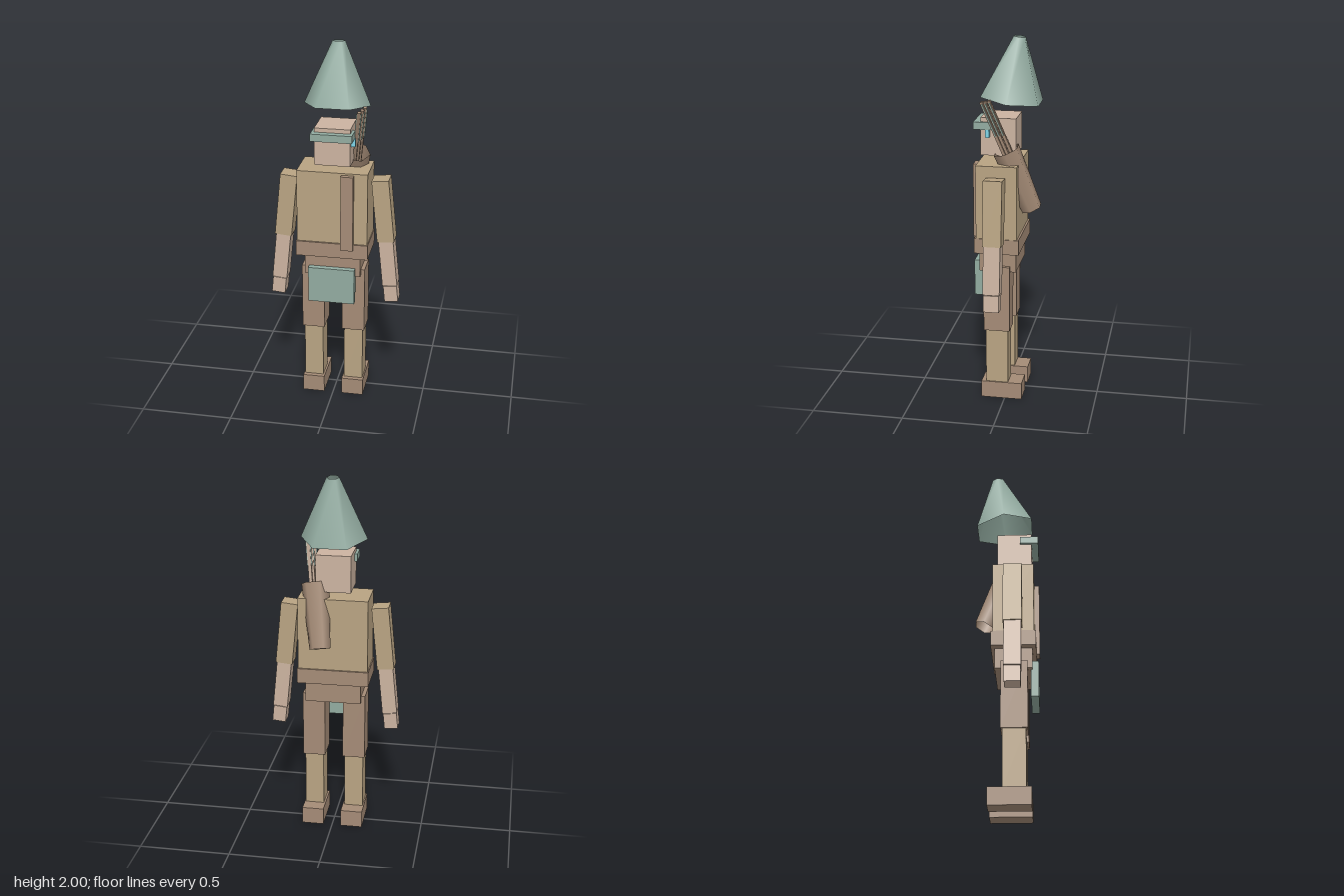
import * as THREE from 'three';

const mat = (color) => new THREE.MeshStandardMaterial({ color, side: THREE.DoubleSide });

export function createModel() {
  const model = new THREE.Group();
  model.name = 'archerFigure';
  const tan = mat(0xb8a382), brown = mat(0xa48b76), skin = mat(0xcbb3a0);
  const teal = mat(0x92aba0), blue = mat(0x7fd4e6);

  // Box given by its extents on each axis
  const box = (name, m, [x0, x1], [y0, y1], [z0, z1], parent = model) => {
    const mesh = new THREE.Mesh(new THREE.BoxGeometry(x1 - x0, y1 - y0, z1 - z0), m);
    mesh.position.set((x0 + x1) / 2, (y0 + y1) / 2, (z0 + z1) / 2);
    mesh.name = name;
    parent.add(mesh);
    return mesh;
  };
  // Open six-sided tapered tube with corners on the x axis
  const hexTube = (name, m, rTop, rBottom, h) => {
    const mesh = new THREE.Mesh(new THREE.CylinderGeometry(rTop, rBottom, h, 6, 1, true, Math.PI / 6), m);
    mesh.name = name;
    return mesh;
  };

  // Trunk
  box('torso', tan, [-0.19, 0.19], [0.93, 1.34], [-0.07, 0.15]);
  box('belt', brown, [-0.196, 0.194], [0.857, 0.94], [-0.08, 0.16]);
  box('pelvis', brown, [-0.152, 0.152], [0.745, 0.86], [-0.06, 0.14]);
  box('chestStrap', brown, [0.05, 0.117], [0.91, 1.33], [0.145, 0.177]);
  box('frontFlap', teal, [-0.127, 0.125], [0.593, 0.793], [0.13, 0.172]);

  // Head with brow band and hanging bead
  box('head', skin, [-0.095, 0.095], [1.375, 1.577], [-0.05, 0.14]);
  box('browBand', teal, [-0.11, 0.11], [1.515, 1.555], [0.075, 0.177]);
  box('bead', blue, [0.092, 0.117], [1.475, 1.516], [0.09, 0.11]);

  // Hat, leaning back
  const hat = hexTube('hat', teal, 0.034, 0.178, 0.332);
  hat.position.set(0, 1.829, -0.032);
  hat.rotation.x = -0.125;
  model.add(hat);

  for (const side of [-1, 1]) {
    const label = side > 0 ? 'left' : 'right';
    const span = (a, b) => (side > 0 ? [a, b] : [-b, -a]);

    // Leg
    box(label + 'Thigh', brown, span(0.05, 0.173), [0.405, 0.777], [-0.028, 0.114]);
    box(label + 'Shin', tan, span(0.06, 0.163), [0.09, 0.41], [-0.018, 0.104]);
    box(label + 'Foot', brown, span(0.05, 0.17), [0, 0.095], [-0.095, 0.13]);

    // Arm, hung from the shoulder and swung outward
    const arm = new THREE.Group();
    arm.name = label + 'Arm';
    arm.position.set(side * 0.246, 1.286, 0.04);
    arm.rotation.z = side * 0.1;
    box('upperArm', tan, [-0.046, 0.046], [-0.35, 0], [-0.05, 0.05], arm);
    box('forearm', skin, [-0.04, 0.04], [-0.612, -0.35], [-0.045, 0.045], arm);
    box('hand', skin, [-0.037, 0.037], [-0.706, -0.616], [-0.042, 0.042], arm);
    model.add(arm);
  }

  // Quiver on the back, tilted forward over the shoulder
  const bottom = new THREE.Vector3(0.058, 1.082, -0.13);
  const top = new THREE.Vector3(0.105, 1.41, 0);
  const axis = top.clone().sub(bottom);
  const length = axis.length();
  const quiver = new THREE.Group();
  quiver.name = 'quiver';
  quiver.position.copy(bottom).lerp(top, 0.5);
  quiver.quaternion.setFromUnitVectors(new THREE.Vector3(0, 1, 0), axis.normalize());
  quiver.add(hexTube('quiverTube', brown, 0.075, 0.057, length));

  // Arrows with thin feather plates
  const tip = length / 2 + 0.29;
  for (const [x, z] of [[0.018, -0.025], [0.008, 0], [-0.004, 0.022]]) {
    box('arrowShaft', brown, [x - 0.009, x + 0.009], [0, tip], [z - 0.008, z + 0.008], quiver);
    box('arrowFeather', teal, [x - 0.014, x + 0.014], [tip - 0.2, tip - 0.01], [z - 0.003, z + 0.003], quiver);
  }
  model.add(quiver);

  return model;
}
